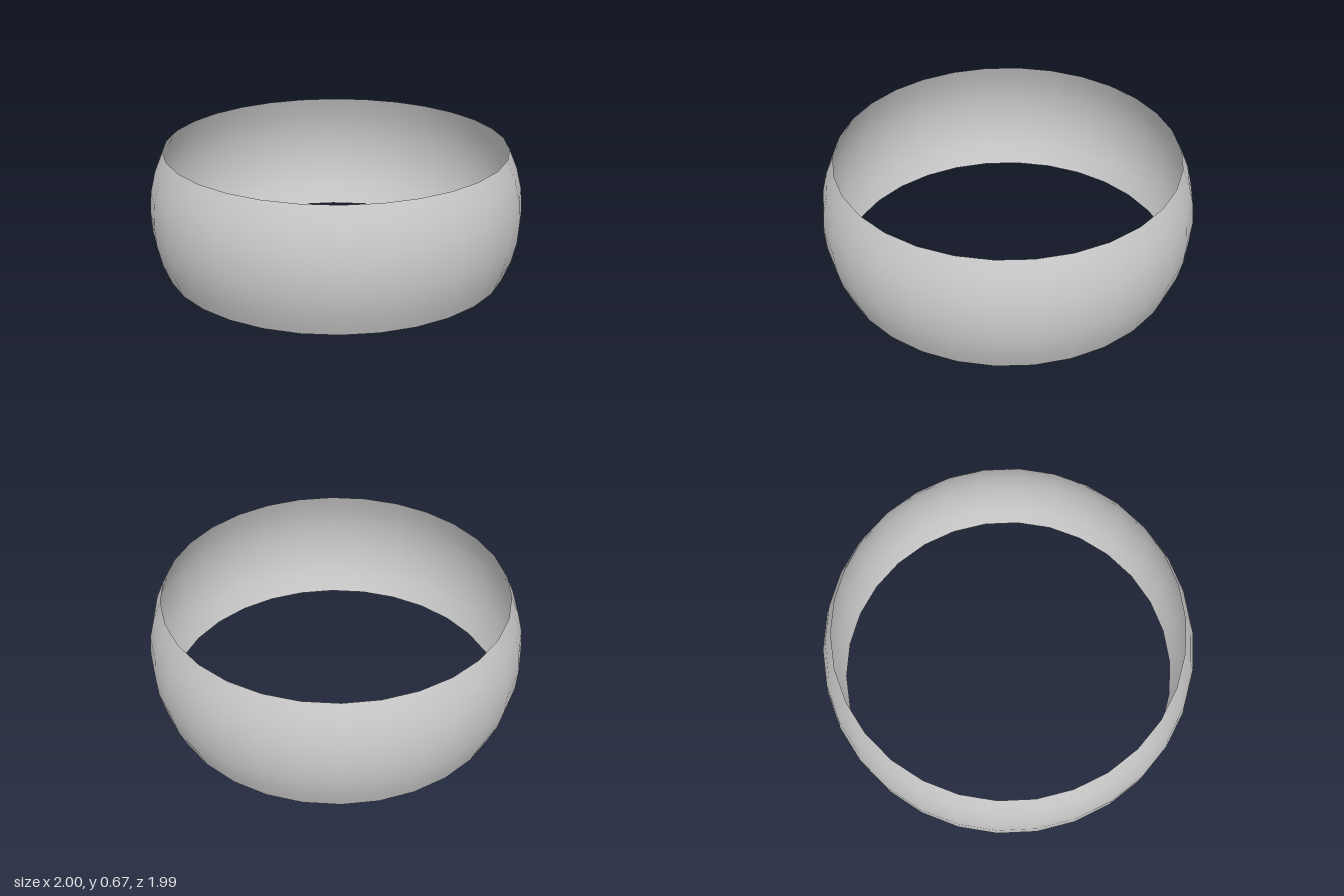
import * as THREE from 'three';

const HEIGHT = 0.67;      // band height
const RIM = 0.92;         // radius at the open rims
const BELLY = 1;          // radius at mid height
const SIDES = 30;
const STEPS = 6;

export function createModel() {
  const group = new THREE.Group();

  // Outward-bulging circular arc from the bottom rim to the top rim
  const half = HEIGHT / 2;
  const sag = BELLY - RIM;
  const arcRadius = (half * half + sag * sag) / (2 * sag);
  const maxAngle = Math.asin(half / arcRadius);
  const profile = [];
  for (let i = 0; i <= STEPS; i++) {
    const a = maxAngle * (2 * i / STEPS - 1);
    profile.push(new THREE.Vector2(
      BELLY - arcRadius * (1 - Math.cos(a)),
      half + arcRadius * Math.sin(a)
    ));
  }

  // Thin open band, with a corner on the x axis
  const band = new THREE.Mesh(
    new THREE.LatheGeometry(profile, SIDES, Math.PI / 2),
    new THREE.MeshStandardMaterial({ color: 0xcccccc, side: THREE.DoubleSide })
  );
  band.name = 'band';
  group.add(band);

  return group;
}
